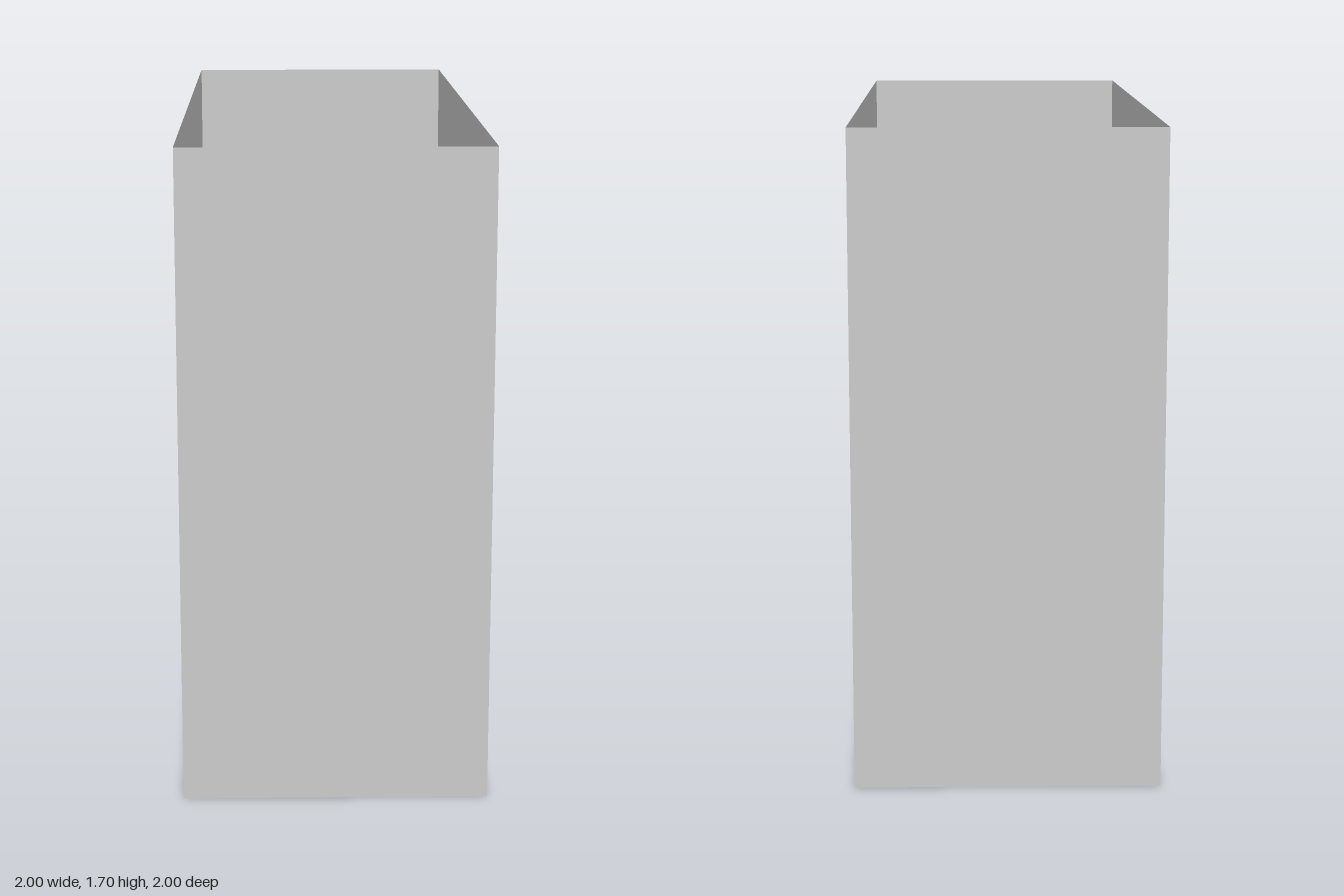
import * as THREE from 'three';

const material = new THREE.MeshStandardMaterial({
  color: 0xcccccc, flatShading: true, side: THREE.DoubleSide,
});

// Thin upright wall facing +z, with an optional doorway cut up from its foot
function wall(name, width, height, door) {
  const w = width / 2;
  const points = [[-w, 0]];
  if (door) {
    const d = door.width / 2;
    points.push([-d, 0], [-d, door.height], [d, door.height], [d, 0]);
  }
  points.push([w, 0], [w, height], [-w, height]);
  const shape = new THREE.Shape(points.map(([x, y]) => new THREE.Vector2(x, y)));
  const mesh = new THREE.Mesh(new THREE.ShapeGeometry(shape), material);
  mesh.name = name;
  return mesh;
}

// Four thin walls round a rectangle; the doorway is in the back one
function wallRing(name, length, depth, height, door) {
  const ring = new THREE.Group();
  ring.name = name;
  const sides = [
    ['frontWall', length, depth, 0],
    ['leftWall', depth, length, Math.PI / 2],
    ['backWall', length, depth, Math.PI, door],
    ['rightWall', depth, length, -Math.PI / 2],
  ];
  for (const [side, width, across, angle, opening] of sides) {
    const mesh = wall(side, width, height, opening);
    mesh.rotation.y = angle;
    mesh.position.set(Math.sin(angle) * across / 2, 0, Math.cos(angle) * across / 2);
    ring.add(mesh);
  }
  return ring;
}

export function createModel() {
  const model = new THREE.Group();
  model.name = 'building';

  // The whole building stands diagonally
  const building = new THREE.Group();
  building.name = 'diagonalBuilding';
  building.rotation.y = -Math.PI / 4;
  model.add(building);

  // Outer shell, open at top and bottom
  building.add(wallRing('outerShell', 2.036, 0.792, 1.7, { width: 0.38, height: 0.495 }));

  // Inner room set just inside the shell
  const length = 2.007, depth = 0.732, ceiling = 0.755, roof = 0.875;
  const room = new THREE.Group();
  room.name = 'innerRoom';
  room.position.set(-0.004, 0, 0.002);
  room.add(wallRing('roomWalls', length, depth, ceiling, { width: 0.365, height: 0.4 }));

  const floor = new THREE.Mesh(new THREE.PlaneGeometry(length, depth), material);
  floor.name = 'roomFloor';
  floor.rotation.x = -Math.PI / 2;
  room.add(floor);

  // Slab over the room
  const slab = new THREE.Mesh(new THREE.BoxGeometry(length, roof - ceiling, depth), material);
  slab.name = 'ceilingSlab';
  slab.position.y = (roof + ceiling) / 2;
  room.add(slab);
  building.add(room);

  return model;
}
